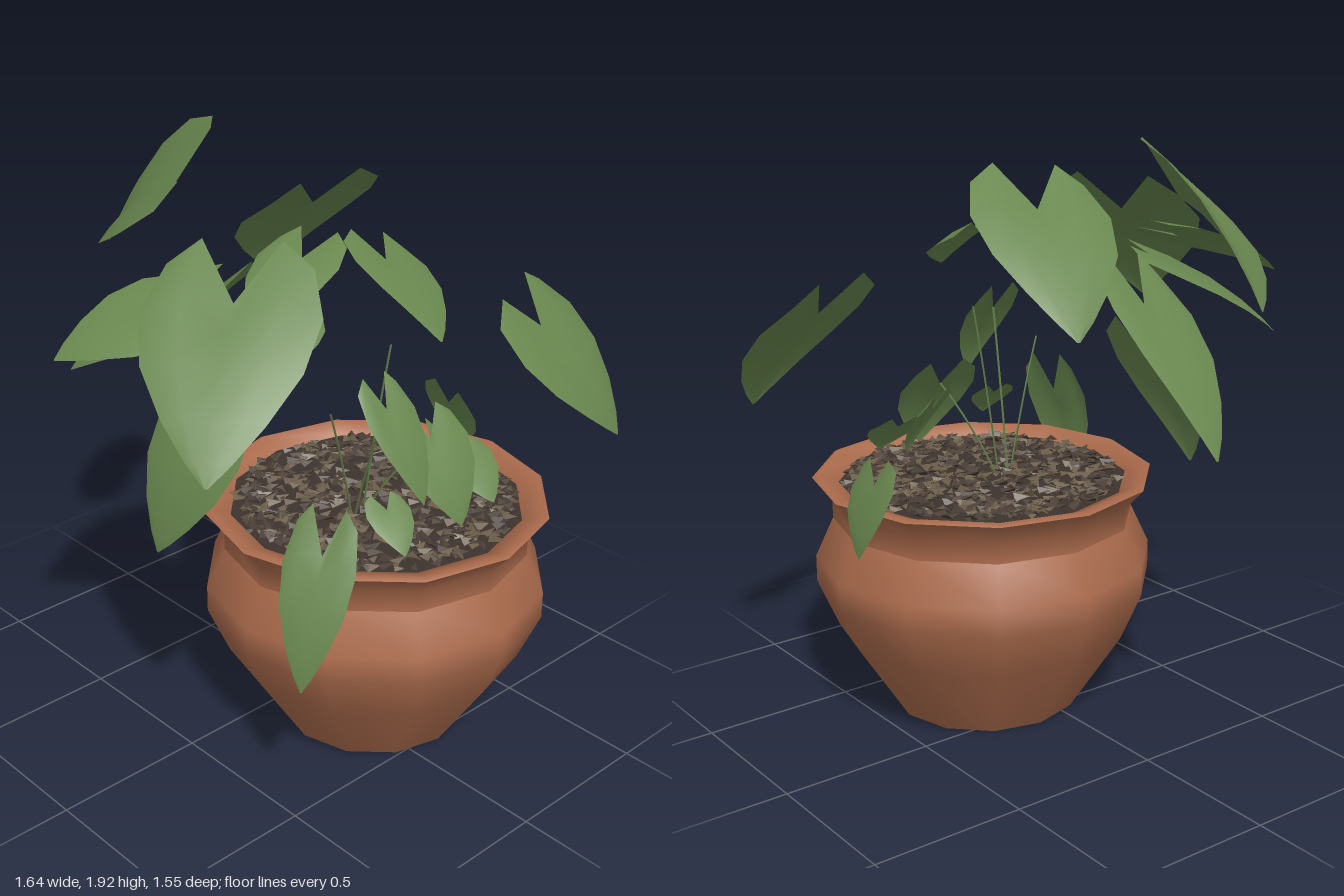
import * as THREE from 'three';
import { mergeGeometries } from 'three/addons/utils/BufferGeometryUtils.js';

const V = (a) => new THREE.Vector3(...a);
const mat = (name, color, side = THREE.FrontSide) => {
  const m = new THREE.MeshStandardMaterial({ color, side });
  m.name = name;
  return m;
};
const CENTER = [0.11, 0, 0.22];

let seed = 7;
const rand = () => (seed = (seed * 16807) % 2147483647) / 2147483647;

// Heart-shaped leaf: base is where the stalk joins, across runs over the blade, fold lifts both edges
function leafGeometry([base, tip, across, width, fold = 0]) {
  const b = V(base), dir = V(tip).sub(b);
  const length = dir.length();
  dir.normalize();
  const side = V(across);
  side.addScaledVector(dir, -side.dot(dir)).normalize();
  const normal = new THREE.Vector3().crossVectors(dir, side);
  if (normal.y < 0) { side.negate(); normal.negate(); }
  // rows run from base to tip: [along, half width, lobe amount]
  const rows = [[0, 0.82, 1], [0.2, 1, 0.55], [0.45, 0.88, 0.25], [0.7, 0.56, 0.1], [0.88, 0.25, 0], [1, 0.02, 0]];
  const cols = [[-1, 0.22], [-0.55, 0.36], [0, 0], [0.55, 0.36], [1, 0.22]];
  const pos = [], idx = [];
  rows.forEach(([t, w, lobe], r) => cols.forEach(([v, back], c) => {
    const bow = length * 0.32 * t * (1 - t);
    const cup = width * w * ((0.07 + fold) * Math.abs(v) - 0.1 * v * v);
    const p = b.clone()
      .addScaledVector(dir, length * (t - back * lobe))
      .addScaledVector(side, v * w * width / 2)
      .addScaledVector(normal, bow + cup);
    pos.push(p.x, p.y, p.z);
    if (r && c) {
      const i = r * 5 + c;
      idx.push(i - 6, i - 5, i - 1, i - 5, i, i - 1);
    }
  }));
  const g = new THREE.BufferGeometry();
  g.setAttribute('position', new THREE.Float32BufferAttribute(pos, 3));
  g.setIndex(idx);
  g.computeVertexNormals();
  return g;
}

// Leaves as [base, tip, across, width, fold]
const upperLeaves = [
  [[-0.17, 1.75, -0.4], [-0.16, 1.47, -0.77], [0.3, 0.3, 0.05], 0.52, 0.1],
  [[0.11, 1.7, -0.08], [0.22, 1.37, -0.42], [1, 0, 0.15], 0.46],
  [[0.55, 1.34, 0.49], [0.67, 1.01, 0.73], [0.47, 0, -0.21], 0.54],
  [[-0.47, 1.61, 0.22], [-0.79, 1.24, 0.47], [0.24, -0.04, 0.42], 0.52],
  [[-0.53, 1.54, 0], [-0.82, 1.42, -0.16], [0.2, 0.15, -0.35], 0.32],
  [[-0.36, 1.48, -0.14], [-0.63, 1.27, -0.36], [0.25, 0.05, -0.25], 0.42],
  [[-0.18, 1.4, -0.24], [-0.13, 1.0, -0.64], [1, 0.25, 0], 0.34],
  [[-0.1, 1.62, 0.1], [-0.37, 1.46, 0.18], [0.1, 0, 0.4], 0.28],
  [[0.11, 1.6, 0.24], [0.05, 1.44, 0.53], [1, -0.2, -0.1], 0.3],
  [[-0.06, 1.37, 0.04], [-0.2, 1.3, 0.15], [0.5, 0, 0.6], 0.17],
];
const lowerLeaves = [
  [[-0.43, 1.14, 0.03], [-0.59, 0.76, -0.02], [0, 0.05, 1], 0.4],
  [[-0.13, 1.27, 0.49], [-0.13, 1.02, 0.65], [1, -0.1, 0], 0.2],
  [[-0.43, 0.92, 0.54], [-0.55, 0.53, 0.58], [0.4, 0, 0.7], 0.22],
  [[0.63, 0.9, 0.05], [0.71, 0.69, 0.02], [-0.1, 0.1, 1], 0.24],
  [[0.14, 1.06, 0.42], [0.13, 0.82, 0.57], [1, 0.1, 0], 0.28],
  [[0.31, 0.94, 0.42], [0.3, 0.83, 0.55], [1, 0.3, -0.2], 0.19],
  [[-0.15, 0.96, 0.52], [-0.18, 0.86, 0.63], [1, 0.2, 0], 0.15],
  [[0.21, 1.0, 0.36], [0.25, 0.83, 0.46], [0.6, 0.2, -0.5], 0.2],
];
// Stalk tops
const stalkTops = [[-0.13, 1.27, 0.49], [-0.17, 1.2, 0.3], [0.1, 1.34, 0.28], [0.14, 1.06, 0.42]];

function stalkGeometry(top) {
  const end = V(top);
  const start = new THREE.Vector3(0.02 + end.x * 0.2, 0.78, CENTER[2] + end.z * 0.05);
  const mid = start.clone().lerp(end, 0.45);
  mid.y += 0.04;
  return new THREE.TubeGeometry(new THREE.QuadraticBezierCurve3(start, mid, end), 8, 0.004, 3);
}

// Loose bark chips scattered over the soil
function chipsGeometry(count) {
  const chips = [];
  for (let i = 0; i < count; i++) {
    const r = 0.45 * Math.sqrt(rand()), a = rand() * Math.PI * 2;
    const g = new THREE.TetrahedronGeometry(0.016 + rand() * 0.012);
    g.scale(1.5, 0.45, 0.9);
    g.rotateX((rand() - 0.5) * 0.7);
    g.rotateY(rand() * 6.28);
    g.translate(r * Math.cos(a), 0.785 + rand() * 0.012, r * Math.sin(a));
    chips.push(g);
  }
  return mergeGeometries(chips);
}

export function createModel() {
  const model = new THREE.Group();
  model.name = 'pottedPlant';
  const terracotta = mat('terracotta', 0xab6b4c, THREE.DoubleSide);
  const leafGreen = mat('leafGreen', 0x69874f, THREE.DoubleSide);
  const soilBrown = mat('soilBrown', 0x3d332e);
  const barkDark = mat('barkDark', 0x4b3f37);
  const barkTan = mat('barkTan', 0x695b48);

  const add = (parent, name, geometry, material) => {
    const m = new THREE.Mesh(geometry, material);
    m.name = name;
    parent.add(m);
    return m;
  };

  // Pot, split where the outline has hard edges
  const pot = new THREE.Group();
  pot.name = 'pot';
  pot.position.set(...CENTER);
  model.add(pot);
  const lathe = (name, pts) =>
    add(pot, name, new THREE.LatheGeometry(pts.map((p) => new THREE.Vector2(...p)), 12), terracotta);
  lathe('potBase', [[0, 0.01], [0.31, 0.01]]);
  lathe('potBody', [[0.31, 0.01], [0.485, 0.28], [0.555, 0.44], [0.555, 0.53], [0.495, 0.66]]);
  lathe('potNeck', [[0.495, 0.66], [0.495, 0.73], [0.558, 0.8]]);
  lathe('potRim', [[0.558, 0.8], [0.54, 0.81], [0.475, 0.785], [0.46, 0.74]]);

  // Soil and bark
  const soil = add(pot, 'soil', new THREE.CircleGeometry(0.475, 12).rotateX(-Math.PI / 2), soilBrown);
  soil.position.y = 0.78;
  add(pot, 'darkBarkChips', chipsGeometry(420), barkDark);
  add(pot, 'tanBarkChips', chipsGeometry(320), barkTan);

  // Foliage
  upperLeaves.forEach((leaf, i) => add(model, `upperLeaf${i + 1}`, leafGeometry(leaf), leafGreen));
  lowerLeaves.forEach((leaf, i) => add(model, `lowerLeaf${i + 1}`, leafGeometry(leaf), leafGreen));
  stalkTops.forEach((top, i) => add(model, `stalk${i + 1}`, stalkGeometry(top), leafGreen));
  return model;
}
